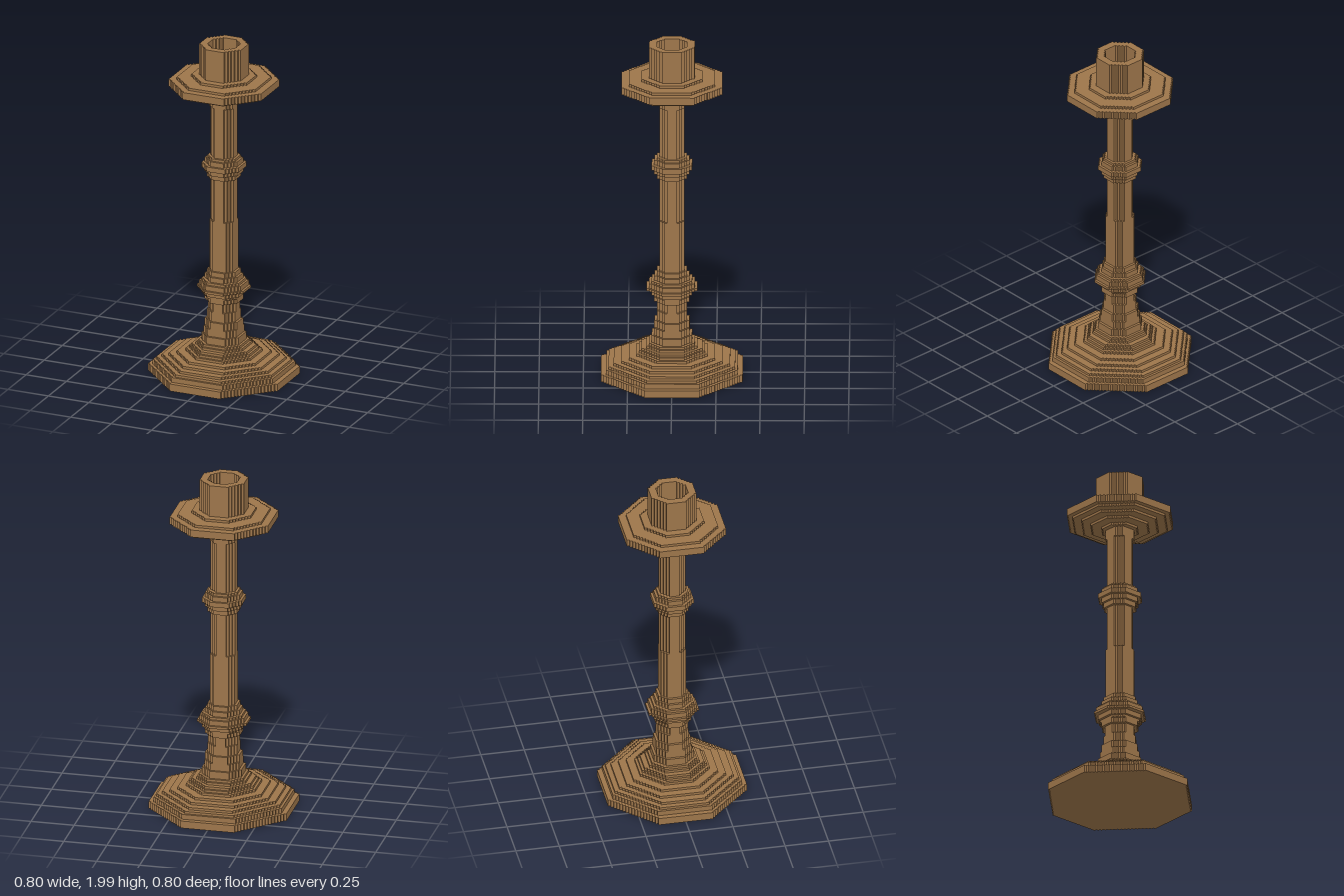
import * as THREE from 'three';
import { mergeGeometries } from 'three/addons/utils/BufferGeometryUtils.js';

const CELL = 2 / 140; // size of one block

// Stepped outline of an octagon with inradius r, in whole blocks
function octagon(r) {
  const half = Math.floor(r + 0.5);
  const diagonal = Math.floor(r * Math.SQRT2);
  const right = [];
  for (let k = -half; k < half; k++) {
    const w = Math.min(half, diagonal - (k < 0 ? -k - 1 : k));
    const last = right[right.length - 1];
    if (last && last.x === w) last.y = k + 1;
    else right.push(new THREE.Vector2(w, k), new THREE.Vector2(w, k + 1));
  }
  const left = right.map((p) => new THREE.Vector2(-p.x, p.y)).reverse();
  return [...right, ...left];
}

// One layer: radius r from block row y0, rows high, optionally hollow
function layer(r, y0, rows, hole = 0) {
  const shape = new THREE.Shape(octagon(r));
  if (hole) shape.holes.push(new THREE.Path(octagon(hole).reverse()));
  const geometry = new THREE.ExtrudeGeometry(shape, { depth: rows, bevelEnabled: false });
  geometry.rotateX(-Math.PI / 2);
  geometry.translate(0, y0, 0);
  geometry.scale(CELL, CELL, CELL);
  return geometry;
}

// Each part is a stack of [radius, rows, hole], listed from the ground up
const PARTS = {
  base: [
    [27.55, 3], [25.7, 2], [24.6, 1], [22.55, 1], [20, 1], [17, 1],
    [14, 1], [12.5, 1], [11.5, 1], [10.4, 1], [9.4, 1],
  ],
  lowerStem: [[8.2, 3], [7.2, 3], [6.7, 3], [6.2, 4], [5.6, 4]],
  lowerKnop: [
    [6.6, 2], [7.2, 1], [8, 2], [9.6, 1], [9, 2], [8, 1], [7, 2], [6, 2],
  ],
  lowerShaft: [[5.2, 21], [4.7, 18]],
  upperKnop: [[5.8, 2], [7, 2], [7.8, 2], [7, 2], [6, 1]],
  upperShaft: [[4.7, 21], [5.2, 4]],
  dripPan: [
    [7, 1], [11, 1], [14.5, 1], [18, 1], [20, 3], [17.2, 1], [11.8, 1],
  ],
  candleSocket: [[8.6, 3], [8.6, 10, 6]],
};

export function createModel() {
  const group = new THREE.Group();
  group.name = 'candlestick';
  const wood = new THREE.MeshStandardMaterial({ color: 0x9d754a });
  wood.name = 'brown wood';

  let y = 0;
  for (const [name, stack] of Object.entries(PARTS)) {
    const layers = stack.map(([r, rows, hole]) => {
      const geometry = layer(r, y, rows, hole);
      y += rows;
      return geometry;
    });
    const mesh = new THREE.Mesh(mergeGeometries(layers), wood);
    mesh.name = name;
    group.add(mesh);
  }
  return group;
}
